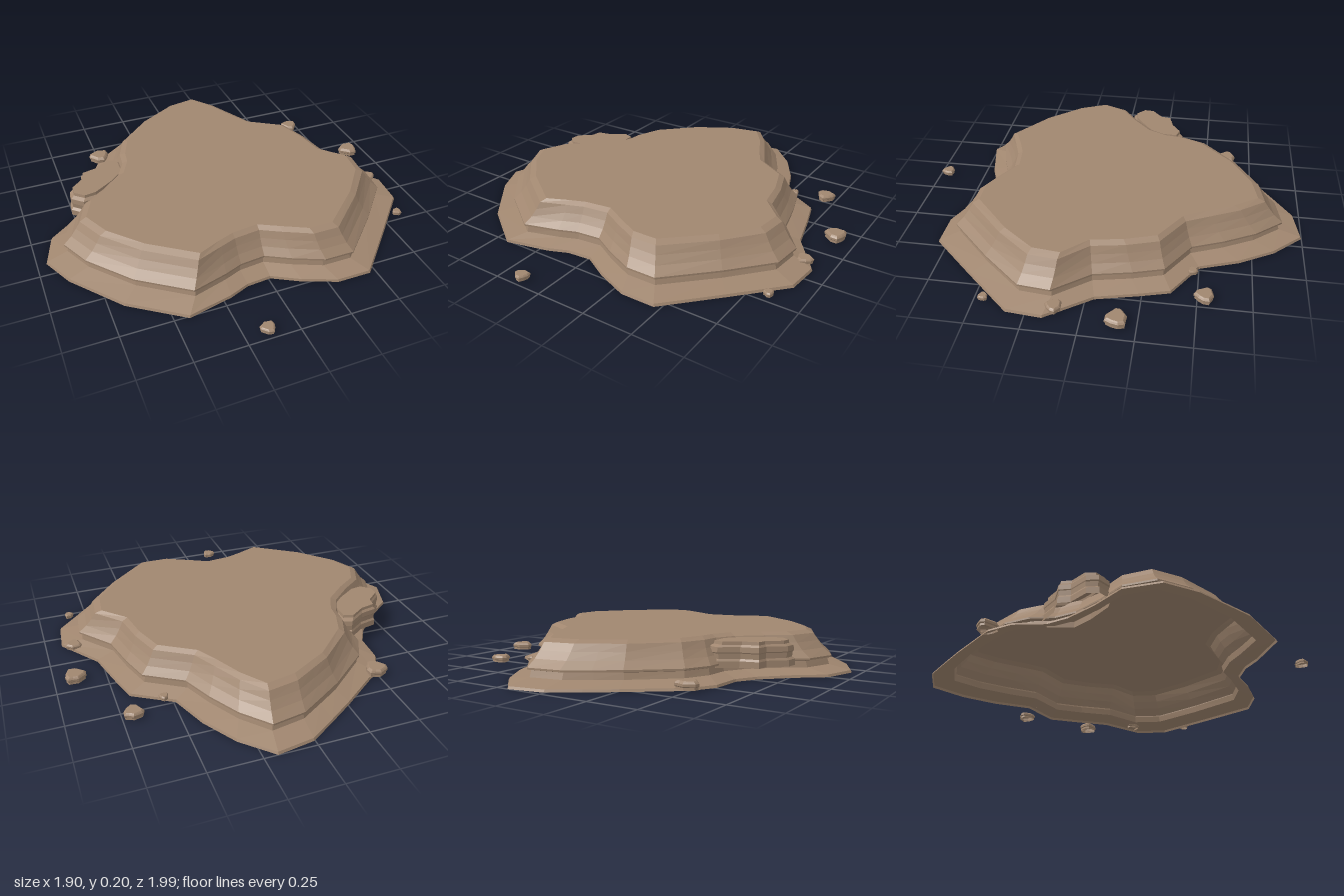
import * as THREE from 'three';

const rock = new THREE.MeshStandardMaterial({ color: 0xa0866f, flatShading: true, side: THREE.DoubleSide });
rock.name = 'sandy rock';

// Outlines are [x, z] points, clockwise seen from above
const footOutline = [
  [.185, -1], [.32, -.86], [.42, -.69], [.49, -.5], [.68, -.38], [.72, -.24], [.77, -.04], [.92, .17],
  [.905, .34], [.69, .57], [.47, .8], [.3, .8], [.14, .735], [.01, .66], [-.11, .67], [-.21, .71],
  [-.43, .76], [-.68, .58], [-.88, .33], [-.955, .17], [-.9, 0], [-.76, -.11], [-.64, -.23], [-.58, -.33],
  [-.57, -.49], [-.5, -.61], [-.26, -.79], [-.13, -.88], [.005, -.97],
];
const edgeOutline = [
  [.15, -.8], [.24, -.68], [.31, -.54], [.37, -.42], [.54, -.31], [.59, -.16], [.62, 0], [.735, .13],
  [.72, .27], [.58, .44], [.37, .635], [.24, .635], [.11, .57], [.01, .515], [-.12, .53], [-.2, .56],
  [-.33, .61], [-.55, .45], [-.7, .28], [-.765, .14], [-.71, .01], [-.6, -.07], [-.49, -.17], [-.44, -.27],
  [-.43, -.36], [-.38, -.48], [-.2, -.65], [-.1, -.71], [0, -.77],
];
const slabOutline = [
  [-.43, -.34], [-.435, -.21], [-.52, -.13], [-.64, -.05], [-.71, -.04], [-.765, -.09],
  [-.76, -.15], [-.68, -.22], [-.67, -.28], [-.58, -.3], [-.49, -.36],
];
const pebbleOutline = [
  [-.25, -.85], [.15, -.95], [.6, -.7], [1, -.55], [.95, .05], [.6, .55], [.1, 1], [-.5, .7], [-.75, .2], [-1, -.3], [-.8, -.7],
];

// Open-bottomed shell: each [t, y] ring blends from the outer to the inner outline
function loft(name, outer, inner, profile) {
  const rings = profile.map(([t, y]) => outer.map(([x, z], i) =>
    [x + (inner[i][0] - x) * t, y, z + (inner[i][1] - z) * t]));
  const out = [];
  const n = outer.length;
  for (let r = 0; r < rings.length - 1; r++) {
    for (let i = 0; i < n; i++) {
      const j = (i + 1) % n, lo = rings[r], hi = rings[r + 1];
      out.push(...lo[j], ...lo[i], ...hi[i], ...lo[j], ...hi[i], ...hi[j]);
    }
  }
  // Flat top, every triangle facing up
  const cap = rings[rings.length - 1];
  const flat = cap.map(p => new THREE.Vector2(p[0], p[2]));
  for (const [a, b, c] of THREE.ShapeUtils.triangulateShape(flat, [])) {
    const up = THREE.ShapeUtils.area([flat[a], flat[b], flat[c]]) < 0;
    out.push(...cap[a], ...cap[up ? b : c], ...cap[up ? c : b]);
  }
  const geometry = new THREE.BufferGeometry();
  geometry.setAttribute('position', new THREE.Float32BufferAttribute(out, 3));
  geometry.computeVertexNormals();
  const mesh = new THREE.Mesh(geometry, rock);
  mesh.name = name;
  return mesh;
}

function shrink(outline, k) {
  const n = outline.length;
  const cx = outline.reduce((s, p) => s + p[0], 0) / n;
  const cz = outline.reduce((s, p) => s + p[1], 0) / n;
  return outline.map(([x, z]) => [cx + (x - cx) * k, cz + (z - cz) * k]);
}

export function createModel() {
  const model = new THREE.Group();
  model.name = 'rockPlateau';

  // Sloping foot, undercut wall, overhanging lip, concave slope, bevelled top
  model.add(loft('plateau', footOutline, edgeOutline, [
    [0, 0], [.03, .012], [.58, .035], [.63, .066], [.52, .071], [.52, .08],
    [.73, .115], [.88, .15], [1, .185], [1.18, .2],
  ]));

  // Layered slab leaning on the slope
  model.add(loft('ledgeSlab', slabOutline, shrink(slabOutline, .7), [
    [0, .06], [.02, .09], [.25, .1], [.2, .125], [.1, .13], [.15, .155], [.5, .165], [.55, .18],
  ]));

  // Loose pebbles: x, z, radius, turn, base height
  const pebbles = [
    [-.495, -.61, .055, .2, .01], [.695, -.53, .047, 0, .005], [.9, -.155, .053, .4, .005],
    [.86, .13, .04, -.2, .008], [.84, .46, .024, .6, .006], [.54, -.47, .024, 1, .015],
    [-.14, .957, .036, .3, .008],
  ];
  for (const [x, z, r, turn, y] of pebbles) {
    const pebble = loft('pebble', pebbleOutline, shrink(pebbleOutline, .6), [
      [.2, 0], [.25, .25], [0, .35], [0, .6], [.3, .75], [.6, .85],
    ]);
    pebble.position.set(x, y, z);
    pebble.scale.set(r, Math.max(r, .03) * .85, r);
    pebble.rotation.y = turn;
    model.add(pebble);
  }
  return model;
}
